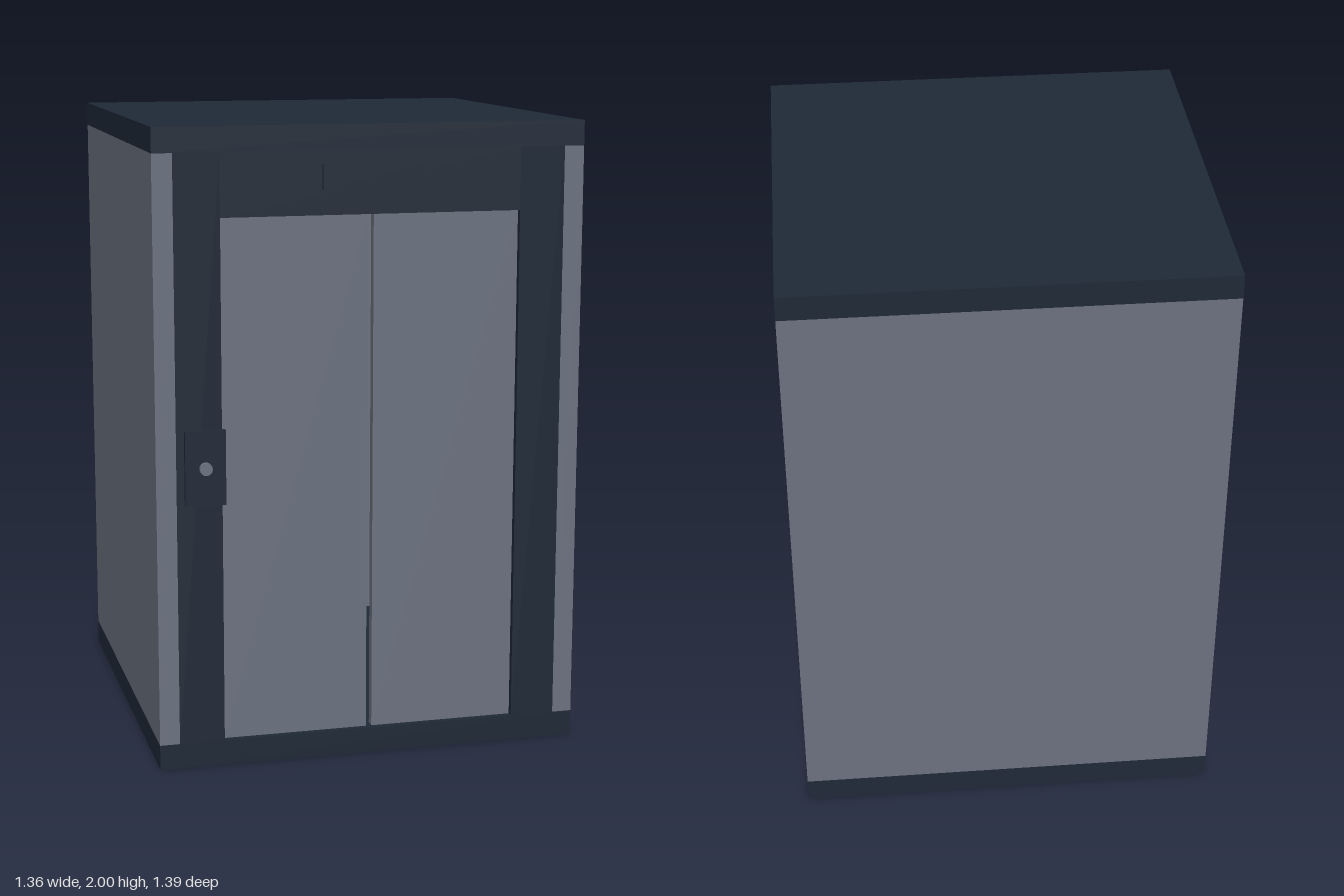
import * as THREE from 'three';

export function createModel() {
  const model = new THREE.Group();
  model.name = 'elevatorCab';
  const dark = new THREE.MeshStandardMaterial({ color: 0x1f2937 });
  dark.name = 'dark slate';
  const grey = new THREE.MeshStandardMaterial({ color: 0x6b7280 });
  grey.name = 'panel grey';

  // Box given by its minimum and maximum corners
  function box(name, material, [x0, y0, z0], [x1, y1, z1]) {
    const mesh = new THREE.Mesh(new THREE.BoxGeometry(x1 - x0, y1 - y0, z1 - z0), material);
    mesh.position.set((x0 + x1) / 2, (y0 + y1) / 2, (z0 + z1) / 2);
    mesh.name = name;
    model.add(mesh);
    return mesh;
  }

  const W = 0.68, back = -0.695, front = 0.665;
  const floorTop = 0.08, roofBottom = 1.922;
  const wallIn = 0.617, doorEdge = 0.474, doorTop = 1.726;

  // Floor and roof slabs
  box('floor', dark, [-W, 0, back], [W, floorTop, front]);
  box('roof', dark, [-W, roofBottom, back], [W, 2, front]);

  // Back wall, between the side walls
  box('backWall', grey, [-wallIn, floorTop, back], [wallIn, roofBottom, back + 0.063]);

  // Side walls, front posts and sliding doors, mirrored
  for (const [side, s] of [['left', 1], ['right', -1]]) {
    const span = (name, material, a, b, y1, z0, z1) =>
      box(side + name, material, [Math.min(s * a, s * b), floorTop, z0], [Math.max(s * a, s * b), y1, z1]);
    span('Wall', grey, wallIn, W, roofBottom, back, front);
    span('FrontPost', dark, doorEdge, wallIn, roofBottom, front - 0.063, front);
    span('Door', grey, 0.009, doorEdge, doorTop, front - 0.05, front - 0.02);
  }

  // Header over the doors with its display
  box('header', dark, [-doorEdge, doorTop, front - 0.063], [doorEdge, roofBottom, front]);
  box('floorDisplay', dark, [-0.158, 1.803, front], [0.158, 1.88, front + 0.015]);

  // Call panel with round button
  box('callPanel', dark, [-0.592, 0.845, front], [-0.465, 1.08, front + 0.015]);
  const button = new THREE.Mesh(new THREE.CylinderGeometry(0.02, 0.02, 0.016, 16), grey);
  button.rotation.x = Math.PI / 2;
  button.position.set(-0.529, 0.963, front + 0.022);
  button.name = 'callButton';
  model.add(button);

  return model;
}
